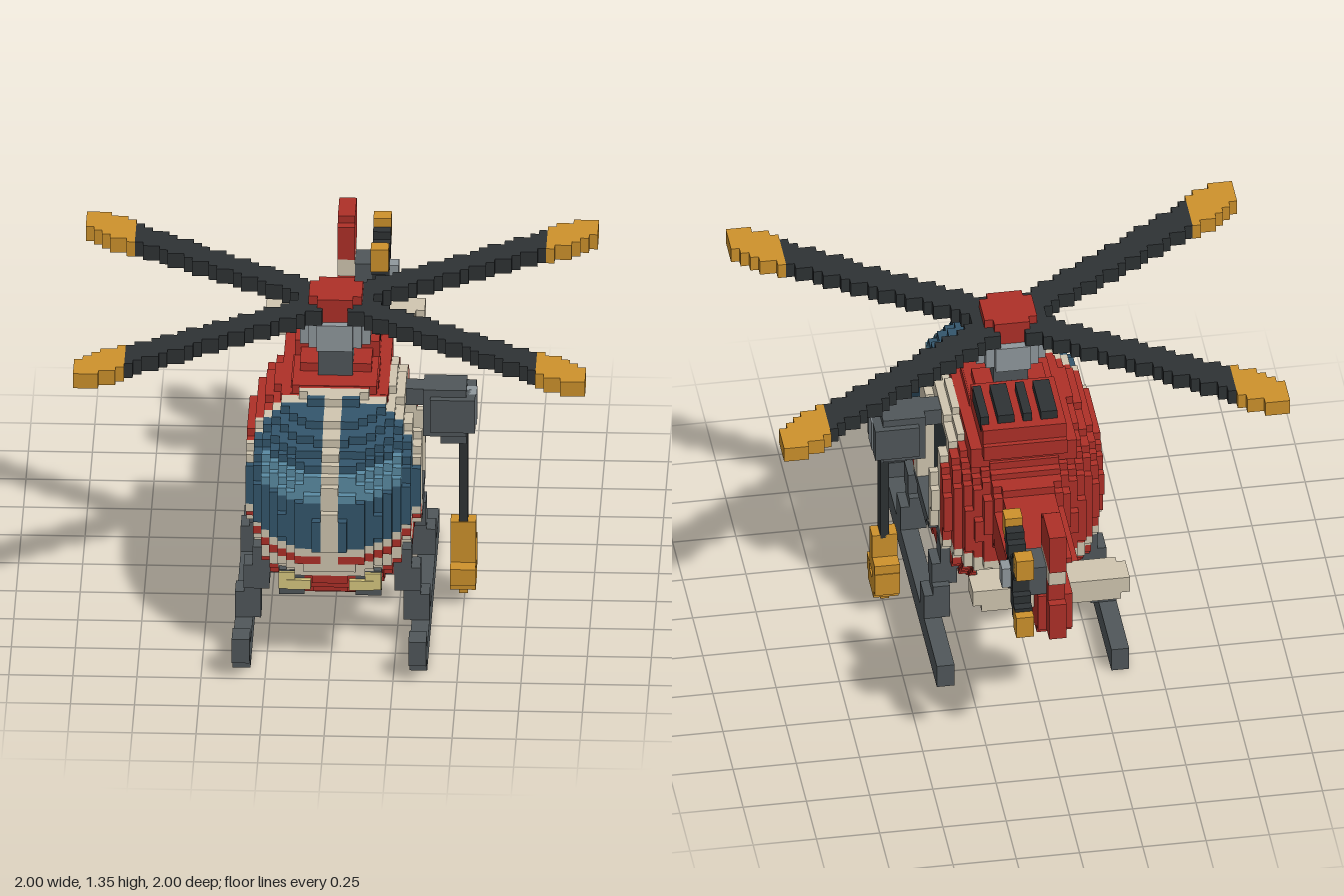
import * as THREE from 'three';

const RED = 0xae3028, CREAM = 0xd0c6b0, GLASS = 0x33566c, SHINE = 0x5a8ba3, BLACK = 0x2e3234,
  GREY = 0x50575a, SILVER = 0x90989d, YELLOW = 0xce922c, LAMP = 0xd8c880, DARK = 0x22292b;
const V = 0.0328; // block size

const materials = {};
const mat = c => (materials[c] ??= new THREE.MeshStandardMaterial({ color: c, flatShading: true }));

// Box given by its lower and upper bounds
function box(parent, name, color, [x0, x1], [y0, y1], [z0, z1]) {
  const m = new THREE.Mesh(new THREE.BoxGeometry(x1 - x0, y1 - y0, z1 - z0), mat(color));
  m.position.set((x0 + x1) / 2, (y0 + y1) / 2, (z0 + z1) / 2);
  m.name = name;
  parent.add(m);
  return m;
}

// Fills a block grid from colorAt(x, y, z) and draws the exposed sides only
function blocks(parent, name, [ox, oy, oz], [nx, ny, nz], [sx, sy, sz], colorAt) {
  const at = (i, j, k) => i < 0 || j < 0 || k < 0 || i >= nx || j >= ny || k >= nz ? null
    : colorAt(ox + (i + 0.5) * sx, oy + (j + 0.5) * sy, oz + (k + 0.5) * sz);
  const byColor = new Map(), s = [sx, sy, sz], o = [ox, oy, oz];
  for (let i = 0; i < nx; i++) for (let j = 0; j < ny; j++) for (let k = 0; k < nz; k++) {
    const c = at(i, j, k);
    if (c === null) continue;
    for (let a = 0; a < 3; a++) for (const d of [-1, 1]) {
      const n = [i, j, k];
      n[a] += d;
      if (at(...n) !== null) continue;
      const corner = (u, v) => {
        const p = [i, j, k];
        p[a] += d > 0 ? 1 : 0;
        p[(a + 1) % 3] += u;
        p[(a + 2) % 3] += v;
        return p.map((q, t) => o[t] + q * s[t]);
      };
      const A = corner(0, 0), B = corner(1, 0), C = corner(1, 1), D = corner(0, 1);
      if (!byColor.has(c)) byColor.set(c, []);
      byColor.get(c).push(...(d > 0 ? [A, B, C, A, C, D] : [A, C, B, A, D, C]).flat());
    }
  }
  const g = new THREE.Group();
  g.name = name;
  for (const [c, pos] of byColor) {
    const geo = new THREE.BufferGeometry();
    geo.setAttribute('position', new THREE.Float32BufferAttribute(pos, 3));
    geo.computeVertexNormals();
    const m = new THREE.Mesh(geo, mat(c));
    m.name = name + 'Blocks';
    g.add(m);
  }
  parent.add(g);
}

// Egg-shaped cabin: 1 on the skin, less inside
function hull(x, y, z) {
  const dy = y - 0.62, dz = z - 0.25;
  return Math.abs(x / 0.345) ** 2.6 + Math.abs(dy / (dy > 0 ? 0.39 : 0.43)) ** 2.6
    + Math.abs(dz / (dz > 0 ? 0.72 : 0.48)) ** 2.3;
}

function cabinColor(x, y, z) {
  const f = hull(x, y, z);
  if (f > 1) return null;
  const doorway = x > 0.07 && z > 0.1 && z < 0.38 && y > 0.48 && y < 0.86;
  if (doorway) return null;
  if (x > 0 && y > 0.41 && y < 0.48 && z > 0.04 && z < 0.45) return GREY; // door sill
  if (f < 0.55) return DARK;
  if (y < 0.412) return RED;
  if (y < 0.478) return CREAM;
  if (z > 0.45 && y < 0.545) return y < 0.51 && Math.abs(x) > 0.034 ? RED : CREAM;
  if (z > 0.52) {
    if (Math.abs(x) < 0.034) return CREAM;
    return y > 0.75 && y < 0.83 && z > 0.67 && Math.abs(x) < 0.26 ? SHINE : GLASS;
  }
  if (z > 0.45 || (x > 0.2 && z > 0.04)) return CREAM;
  return RED;
}

export function createModel() {
  const model = new THREE.Group();
  model.name = 'helicopter';

  blocks(model, 'cabin', [-0.342, 0.248, -0.232], [20, 23, 37], [0.0342, V, V], cabinColor);

  // Engine cover, vents and mast
  box(model, 'roof', RED, [-0.21, 0.21], [0.88, 0.97], [-0.12, 0.44]);
  box(model, 'roofTop', RED, [-0.165, 0.165], [0.94, 1.005], [-0.16, 0.44]);
  box(model, 'engineCover', RED, [-0.165, 0.165], [1, 1.07], [-0.14, 0.17]);
  box(model, 'engineStep', RED, [-0.14, 0.14], [1, 1.04], [0.17, 0.31]);
  for (const [a, b] of [[-0.135, -0.07], [-0.035, 0], [0.035, 0.1], [0.135, 0.168]])
    box(model, 'vent', BLACK, [a, b], [1.04, 1.107], [-0.1, 0.107]);
  box(model, 'mast', GREY, [-0.068, 0.068], [0.93, 1.15], [0.21, 0.345]);
  for (const [hx, hz] of [[0.137, 0.07], [0.104, 0.104], [0.07, 0.137]])
    box(model, 'mastCollar', SILVER, [-hx, hx], [1.14, 1.25], [0.275 - hz, 0.275 + hz]);
  for (const [hx, hz] of [[0.104, 0.07], [0.07, 0.104]])
    box(model, 'rotorHub', RED, [-hx, hx], [1.25, 1.347], [0.275 - hz, 0.275 + hz]);

  // Four main blades in an X
  blocks(model, 'mainRotor', [-1, 1.248, -0.45], [61, 2, 44], [2 / 61, 0.0315, 1.45 / 44], (x, y, z) => {
    const ax = Math.abs(x), az = Math.abs(z - 0.275);
    const across = Math.abs(az - 0.685 * ax) / 1.212, tip = ax > 0.795;
    return across < (tip ? 0.08 : 0.061) ? (tip ? YELLOW : BLACK) : null;
  });

  // Tail boom, tapering backwards
  blocks(model, 'tailBoom', [-0.171, 0.55, -0.965], [10, 9, 25], [0.0342, V, V], (x, y, z) => {
    const t = Math.min(1, Math.max(0, (-0.2 - z) / 0.7));
    const half = z > -0.2 ? 0.14 : z > -0.66 ? 0.11 : z > -0.9 ? 0.075 : 0.037;
    const low = z > -0.4 ? 0.55 : z > -0.72 ? 0.585 : z > -0.88 ? 0.615 : 0.65;
    const high = z > -0.24 ? 0.85 : 0.8;
    const e = ((y - (low + high) / 2) / ((high - low) / 2)) ** 4 + (x / half) ** 4;
    return y > low && y < high && e < 1.6 - 0.2 * t ? RED : null;
  });
  box(model, 'stabilizer', CREAM, [-0.275, 0.275], [0.69, 0.79], [-0.8, -0.66]);
  box(model, 'stabilizerTips', CREAM, [-0.31, 0.31], [0.72, 0.79], [-0.8, -0.69]);

  // Tail fin
  box(model, 'finBase', RED, [-0.034, 0.034], [0.66, 0.9], [-0.93, -0.73]);
  box(model, 'finBand', CREAM, [-0.034, 0.034], [0.9, 0.97], [-0.95, -0.76]);
  box(model, 'finTop', RED, [-0.034, 0.034], [0.97, 1.11], [-0.965, -0.76]);
  box(model, 'finTip', RED, [-0.034, 0.034], [1.11, 1.14], [-0.965, -0.8]);

  // Tail rotor on the left of the fin
  const tailRotor = new THREE.Group();
  tailRotor.name = 'tailRotor';
  box(tailRotor, 'axle', GREY, [0.034, 0.102], [0.82, 0.95], [-0.895, -0.765]);
  box(tailRotor, 'hubCap', SILVER, [0.1, 0.204], [0.84, 0.93], [-0.857, -0.797]);
  box(tailRotor, 'hub', BLACK, [0.102, 0.168], [0.83, 0.94], [-0.895, -0.76]);
  for (const sy of [-1, 1]) for (const sz of [-1, 1]) {
    const part = (name, c, a, b, p, q) => box(tailRotor, name, c, [0.1, 0.17],
      [0.882 + sy * a, 0.882 + sy * b].sort((m, n) => m - n), [-0.826 + sz * p, -0.826 + sz * q].sort((m, n) => m - n));
    part('blade', BLACK, 0.04, 0.115, 0.03, 0.1);
    part('bladeEnd', BLACK, 0.075, 0.148, 0.065, 0.135);
    part('bladeTip', YELLOW, 0.09, 0.185, 0.108, 0.174);
  }
  model.add(tailRotor);

  // Landing gear and lamps, mirrored
  for (const s of [-1, 1]) {
    const gear = new THREE.Group();
    gear.name = s > 0 ? 'leftLandingGear' : 'rightLandingGear';
    const side = (a, b) => (s > 0 ? [a, b] : [-b, -a]);
    box(gear, 'skid', GREY, side(0.31, 0.38), [0, 0.1], [-0.345, 0.9]);
    box(gear, 'skidTip', GREY, side(0.31, 0.38), [0.067, 0.17], [0.9, 1]);
    for (const z of [0.555, -0.03]) {
      box(gear, 'lowerLeg', GREY, side(0.31, 0.38), [0.1, 0.21], [z, z + 0.1]);
      box(gear, 'lowerLegInner', GREY, side(0.278, 0.345), [0.1, 0.25], [z, z + 0.1]);
      box(gear, 'middleLeg', GREY, side(0.245, 0.345), [0.24, 0.34], [z + 0.03, z + 0.13]);
      box(gear, 'upperLeg', GREY, side(0.21, 0.31), [0.31, 0.42], [z + 0.03, z + 0.13]);
    }
    box(gear, 'lampHousing', GREY, side(0.1, 0.2), [0.315, 0.42], [0.8, 0.885]);
    box(gear, 'lamp', LAMP, side(0.075, 0.17), [0.345, 0.385], [0.84, 0.905]);
    box(gear, 'lampSide', LAMP, side(0.137, 0.2), [0.345, 0.415], [0.86, 0.9]);
    model.add(gear);
  }

  // Rescue winch with cable and hook
  const winch = new THREE.Group();
  winch.name = 'winch';
  box(winch, 'arm', GREY, [0.21, 0.37], [0.86, 0.93], [0.21, 0.3]);
  box(winch, 'drum', GREY, [0.342, 0.51], [0.73, 0.93], [0.17, 0.31]);
  box(winch, 'drumRim', GREY, [0.37, 0.545], [0.76, 0.9], [0.145, 0.34]);
  box(winch, 'drumCap', SILVER, [0.49, 0.55], [0.77, 0.9], [0.205, 0.28]);
  box(winch, 'drumFoot', GREY, [0.41, 0.51], [0.695, 0.76], [0.21, 0.3]);
  box(winch, 'cable', BLACK, [0.48, 0.515], [0.33, 0.73], [0.21, 0.275]);
  const hookParts = [[0.2, 0.345, 0.21, 0.278], [0.17, 0.24, 0.15, 0.278], [0.1, 0.2, 0.147, 0.21],
    [0.067, 0.137, 0.18, 0.31], [0.1, 0.17, 0.278, 0.345]];
  for (const [a, b, c, d] of hookParts) box(winch, 'hook', YELLOW, [0.447, 0.547], [a, b], [c, d]);
  box(winch, 'hookTip', YELLOW, [0.48, 0.515], [0.037, 0.07], [0.21, 0.278]);
  model.add(winch);

  return model;
}
